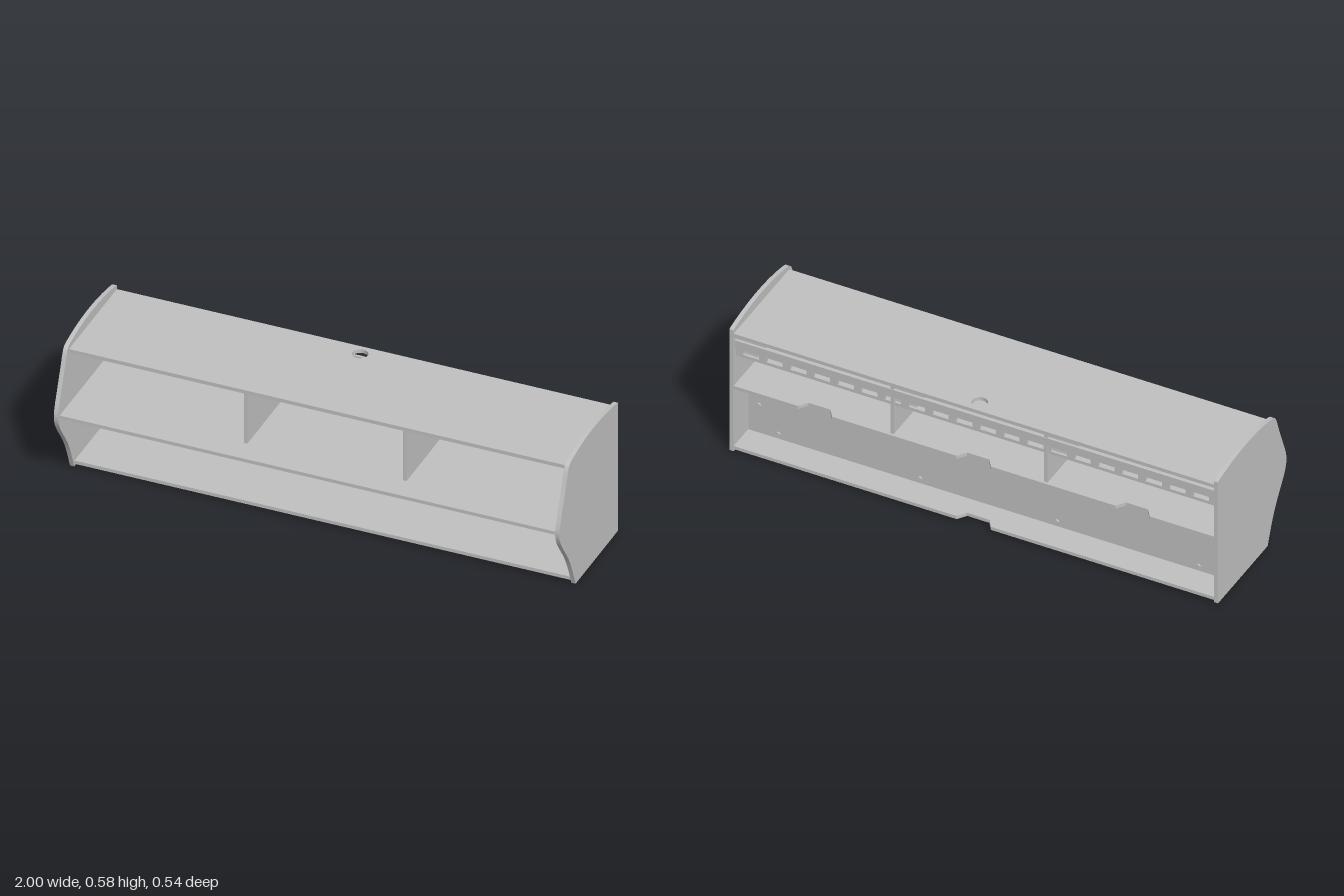
import * as THREE from 'three';

const grey = new THREE.MeshStandardMaterial({ color: 0xc0c0c0 });
grey.name = 'grey';

export function createModel() {
  const model = new THREE.Group();
  model.name = 'deskHutch';

  const add = (name, geometry, x = 0, y = 0, z = 0) => {
    const mesh = new THREE.Mesh(geometry, grey);
    mesh.name = name;
    mesh.position.set(x, y, z);
    model.add(mesh);
    return mesh;
  };
  const extrude = (shape, depth) =>
    new THREE.ExtrudeGeometry(shape, { depth, bevelEnabled: false, curveSegments: 10 });

  const half = 0.983;   // inner half width
  const back = -0.268;

  // Horizontal board with cable notches along its back edge
  const board = (name, top, thick, front, notches = [], hole) => {
    const s = new THREE.Shape();
    s.moveTo(-half, back);
    for (const n of notches) {
      s.lineTo(n - 0.07, back);
      s.lineTo(n - 0.045, back + 0.035);
      s.lineTo(n + 0.045, back + 0.035);
      s.lineTo(n + 0.07, back);
    }
    s.lineTo(half, back);
    s.lineTo(half, front);
    s.lineTo(-half, front);
    s.closePath();
    if (hole) s.holes.push(new THREE.Path().absarc(0, hole, 0.03, 0, Math.PI * 2, true));
    return add(name, extrude(s, thick).rotateX(Math.PI / 2), 0, top, 0);
  };
  board('topShelf', 0.535, 0.015, 0.17, [], -0.22);
  board('middleShelf', 0.298, 0.014, 0.255, [-0.65, 0, 0.65]);
  board('bottomShelf', 0.024, 0.014, 0.12, [0]);

  // Curved end panels
  const side = new THREE.Shape();
  side.moveTo(back, 0);
  side.lineTo(0.122, 0);
  side.bezierCurveTo(0.145, 0.06, 0.165, 0.115, 0.2, 0.165);
  side.bezierCurveTo(0.225, 0.205, 0.27, 0.25, 0.27, 0.298);
  side.bezierCurveTo(0.27, 0.335, 0.245, 0.375, 0.2, 0.5);
  side.bezierCurveTo(0.187, 0.54, 0.18, 0.549, 0.155, 0.555);
  side.bezierCurveTo(0.03, 0.583, -0.11, 0.585, back + 0.004, 0.554);
  side.lineTo(back, 0.55);
  side.closePath();
  const sideGeometry = extrude(side, 0.017).rotateY(-Math.PI / 2);
  add('leftSide', sideGeometry, 1);
  add('rightSide', sideGeometry, -half);

  // Recessed lower back panel and its screw heads
  add('backPanel', new THREE.BoxGeometry(half * 2, 0.262, 0.014), 0, 0.154, -0.146);
  const screw = new THREE.CylinderGeometry(0.01, 0.01, 0.008, 12).rotateX(Math.PI / 2);
  for (const [x, y] of [[0.94, 0.15], [0.86, 0.045], [0.28, 0.045], [-0.28, 0.045], [-0.86, 0.045], [-0.94, 0.15]])
    add('screw', screw, x, y, -0.156);

  // Upright dividers between the middle and top shelves
  for (const x of [-0.29, 0.34])
    add('divider', new THREE.BoxGeometry(0.014, 0.224, 0.415), x, 0.409, -0.05);

  // Rear cable rail: slotted strip below a plain strip
  const strip = new THREE.Shape();
  strip.moveTo(-half, 0.424);
  strip.lineTo(half, 0.424);
  strip.lineTo(half, 0.47);
  strip.lineTo(-half, 0.47);
  strip.closePath();
  const count = 20, pitch = 0.097;
  for (let i = 0; i < count; i++) {
    const x = (i - (count - 1) / 2) * pitch;
    const slot = new THREE.Path();
    slot.moveTo(x - 0.033, 0.437);
    slot.lineTo(x - 0.033, 0.456);
    slot.lineTo(x + 0.033, 0.456);
    slot.lineTo(x + 0.033, 0.437);
    slot.closePath();
    strip.holes.push(slot);
  }
  add('slottedRail', extrude(strip, 0.01), 0, 0, -0.25);
  add('upperRail', new THREE.BoxGeometry(half * 2, 0.034, 0.01), 0, 0.483, -0.255);

  return model;
}
